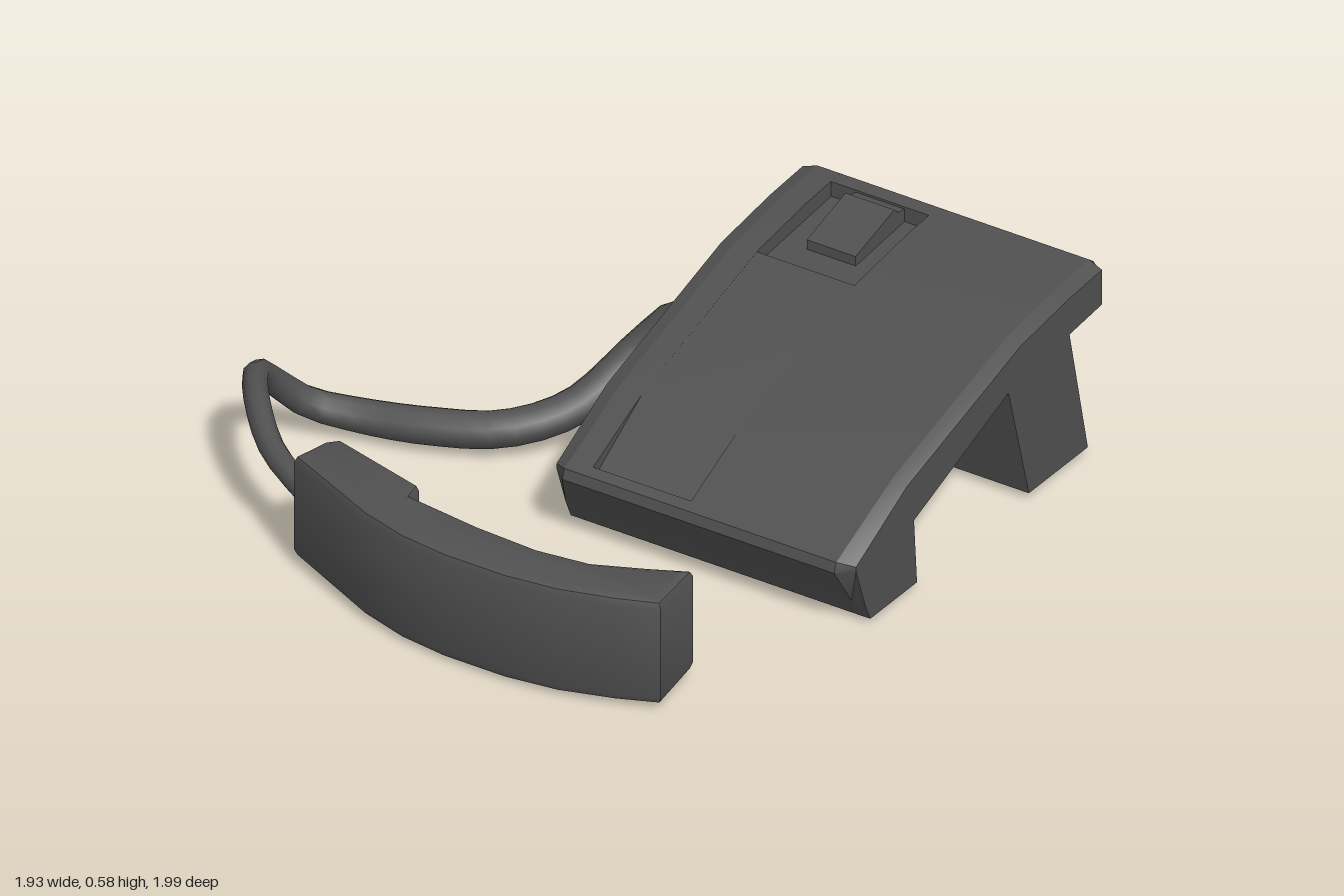
import * as THREE from 'three';
import { toCreasedNormals } from 'three/addons/utils/BufferGeometryUtils.js';

const material = new THREE.MeshStandardMaterial({ color: 0x505050 });

function addMesh(parent, name, geometry, crease = 0.5) {
  const mesh = new THREE.Mesh(toCreasedNormals(geometry, crease), material);
  mesh.name = name;
  parent.add(mesh);
  return mesh;
}

// Side profiles are lists of [z, y], extruded along x from x0 to x1
function extrudeSide(profile, x0, x1) {
  const shape = new THREE.Shape(profile.map(([z, y]) => new THREE.Vector2(-z, y)));
  const g = new THREE.ExtrudeGeometry(shape, { depth: x1 - x0, bevelEnabled: false });
  return g.rotateY(Math.PI / 2).translate(x0, 0, 0);
}

// Pull in the outer end of a strip to chamfer the body's corners
function chamferEnd(g, xEnd) {
  const p = g.attributes.position;
  for (let i = 0; i < p.count; i++) {
    if (Math.abs(p.getX(i) - xEnd) > 0.001) continue;
    const z = p.getZ(i);
    const top = p.getY(i) > 0.45 || (z > -0.02 && p.getY(i) > 0.21);
    p.setZ(i, THREE.MathUtils.clamp(z, -0.96, 0.25));
    if (top) p.setY(i, p.getY(i) - 0.015);
  }
  return g;
}

function createBody() {
  const body = new THREE.Group();
  body.name = 'phoneBody';
  const underside = [
    [-0.985, 0.55], [-1.0, 0.44], [-0.80, 0.425], [-0.89, 0.02], [-0.60, 0.02],
    [-0.50, 0.39], [-0.035, 0.22], [-0.05, 0.015], [0.18, 0.015], [0.205, 0.07], [0.29, 0.2],
  ];
  const plainTop = [[0.28, 0.23], [0, 0.36], [-0.56, 0.525], [-0.80, 0.555], [-0.965, 0.565]];
  // Same top line with the front dish and the rear well cut in
  const recessedTop = [
    [0.28, 0.23], [0.25, 0.244], [0.25, 0.205], [0.01, 0.355], [0, 0.36],
    [-0.555, 0.523], [-0.56, 0.485], [-0.92, 0.515], [-0.92, 0.562], [-0.965, 0.565],
  ];
  const plain = [...plainTop, ...underside];
  const recessed = [...recessedTop, ...underside];

  addMesh(body, 'rightEnd', chamferEnd(extrudeSide(plain, -0.02, 0.025), -0.02));
  addMesh(body, 'rightStrip', extrudeSide(plain, 0.025, 0.10));
  addMesh(body, 'recessedStrip', extrudeSide(recessed, 0.10, 0.42));
  addMesh(body, 'leftStrip', extrudeSide(plain, 0.42, 0.915));
  addMesh(body, 'leftEnd', chamferEnd(extrudeSide(plain, 0.915, 0.96), 0.96));

  // Wedge-shaped hook button in the rear well
  const hook = [[-0.68, 0.48], [-0.68, 0.525], [-0.87, 0.578], [-0.89, 0.56], [-0.92, 0.555], [-0.92, 0.5]];
  addMesh(body, 'hookButton', extrudeSide(hook, 0.18, 0.34));

  // Foot pads under both legs
  for (const x of [0.10, 0.84]) {
    for (const [z, y] of [[-0.74, 0.015], [0.07, 0.01]]) {
      const pad = addMesh(body, 'footPad', new THREE.BoxGeometry(0.12, 0.02, 0.11));
      pad.position.set(x, y, z);
    }
  }
  return body;
}

function createHandset() {
  // Plan outline as [x, z]: outer curve, then inner curve with the raised end block
  const outline = [
    [-0.52, 0.79], [-0.2, 0.93], [-0.05, 0.972], [0.1, 0.99], [0.3, 0.99], [0.46, 0.97],
    [0.62, 0.925], [0.74, 0.88], [0.72, 0.69], [0.6, 0.745], [0.46, 0.805], [0.3, 0.825],
    [0.1, 0.815], [-0.14, 0.785], [-0.15, 0.73], [-0.46, 0.65], [-0.49, 0.68],
  ];
  const bevel = 0.025;
  const shape = new THREE.Shape(outline.map(([x, z]) => new THREE.Vector2(x, z)));
  const g = new THREE.ExtrudeGeometry(shape, {
    depth: 0.335 - 2 * bevel, bevelSize: bevel, bevelThickness: bevel,
    bevelOffset: -bevel, bevelSegments: 2,
  });
  g.rotateX(Math.PI / 2).translate(0, 0.345 - bevel, 0);
  // Slope the underside up toward the inner face, the top only slightly
  const p = g.attributes.position;
  for (let i = 0; i < p.count; i++) {
    const slope = p.getY(i) < 0.18 ? 0.08 : 0.03;
    p.setY(i, p.getY(i) + (0.95 - p.getZ(i)) * slope);
  }
  const group = new THREE.Group();
  group.name = 'handset';
  addMesh(group, 'handsetShell', g, 0.45);
  return group;
}

function createCord() {
  const path = new THREE.CatmullRomCurve3([
    [0.04, 0.36, -0.42], [-0.06, 0.33, -0.41], [-0.14, 0.24, -0.35], [-0.23, 0.12, -0.16],
    [-0.36, 0.08, -0.01], [-0.55, 0.07, 0.08], [-0.75, 0.07, 0.14], [-0.87, 0.1, 0.2],
    [-0.925, 0.19, 0.28], [-0.92, 0.265, 0.37], [-0.82, 0.28, 0.52], [-0.68, 0.235, 0.65],
    [-0.46, 0.18, 0.75],
  ].map((v) => new THREE.Vector3(...v)));
  const segments = 32, sides = 10;
  const g = new THREE.TubeGeometry(path, segments, 0.055, sides);
  // Taper the tube toward the handset
  const p = g.attributes.position, v = new THREE.Vector3();
  for (let i = 0; i < p.count; i++) {
    const t = Math.floor(i / (sides + 1)) / segments;
    const centre = path.getPointAt(t);
    const scale = 1 - 0.35 * THREE.MathUtils.smoothstep(t, 0.4, 0.75);
    v.fromBufferAttribute(p, i).sub(centre).multiplyScalar(scale).add(centre);
    p.setXYZ(i, v.x, v.y, v.z);
  }
  const mesh = new THREE.Mesh(g, material);
  mesh.name = 'cord';
  return mesh;
}

export function createModel() {
  const model = new THREE.Group();
  model.name = 'deskTelephone';
  model.add(createBody(), createHandset(), createCord());
  return model;
}
